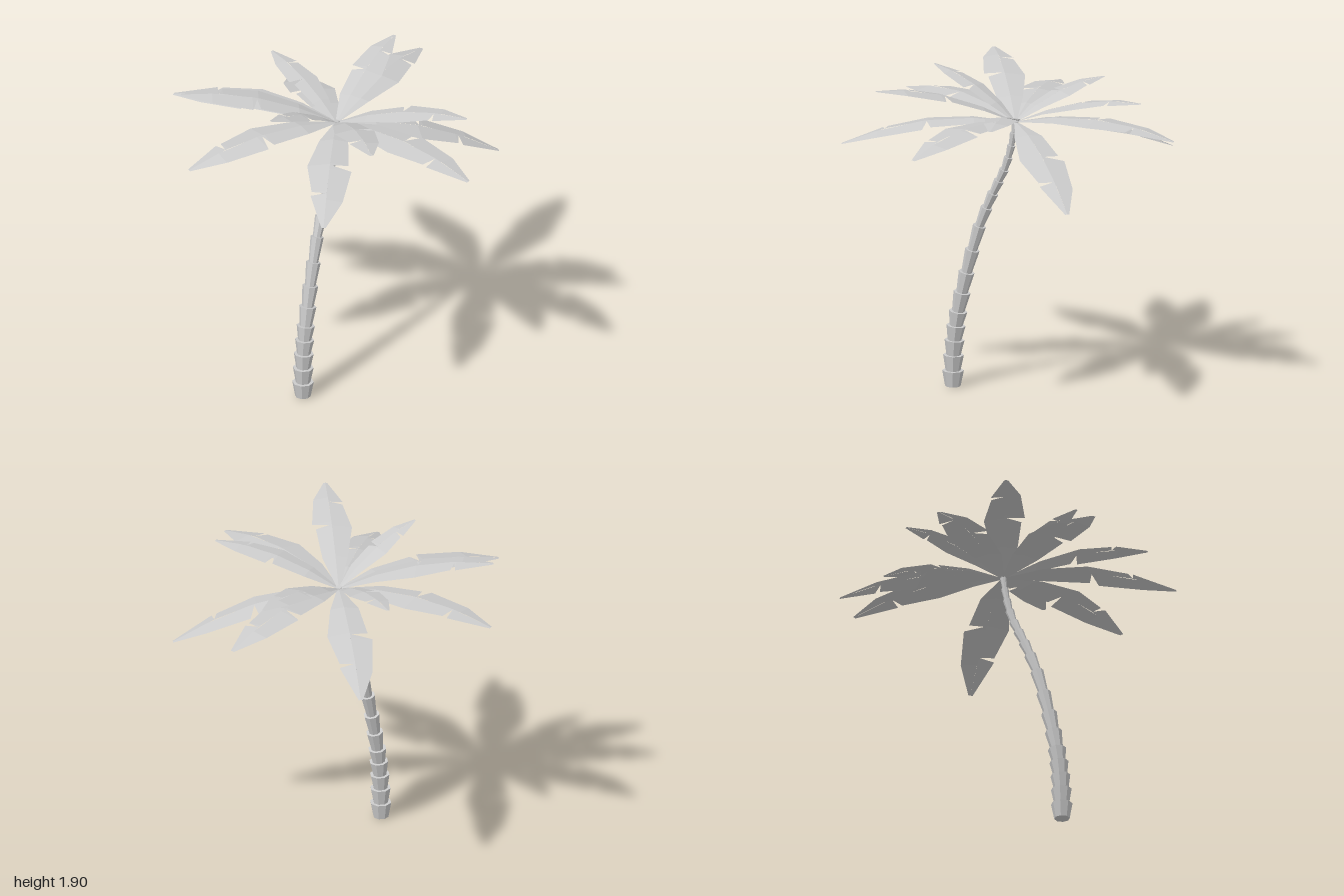
import * as THREE from 'three';

const material = new THREE.MeshStandardMaterial({ color: 0xcccccc, flatShading: true, side: THREE.DoubleSide });
const CROWN = new THREE.Vector3(0, 1.64, 0.04);

// Half outlines of a frond as [distance along rib, half width]; each has one notch cut to the rib
const LEFT = [[0, 0.008], [0.24, 0.085], [0.49, 0.105], [0.51, 0.012], [0.54, 0.126], [0.8, 0.095], [1, 0.012]];
const RIGHT = [[0, 0.008], [0.24, 0.08], [0.5, 0.13], [0.73, 0.088], [0.75, 0.008], [0.76, 0.092], [1, 0.012]];

// Frond tips: a long drooping ring and a shorter raised ring
const LOWER_TIPS = [
  [0, 1.63, -0.97], [-0.7, 1.4, -0.65], [-1, 1.63, 0.2], [-0.48, 1.635, 0.94],
  [0.43, 1.515, 0.96], [1, 1.63, 0.25], [0.72, 1.33, -0.61],
];
const UPPER_TIPS = [
  [-0.05, 1.82, -0.74], [-0.6, 1.8, -0.26], [-0.77, 1.85, 0.52],
  [-0.12, 1.9, 0.61], [0.59, 1.9, 0.67], [0.77, 1.79, -0.14],
];

// Arched leaf, creased along its rib
function makeFrond(tip, name) {
  const chord = new THREE.Vector3(...tip).sub(CROWN);
  const length = chord.length();
  const side = new THREE.Vector3(-chord.z, 0, chord.x).normalize();
  const point = (t, w) => {
    const p = CROWN.clone().addScaledVector(chord, t).addScaledVector(side, w * length);
    p.y += length * (0.29 * t * (1 - t) - 0.15 * Math.abs(w));
    return p;
  };
  const points = [];
  for (const [outline, sign] of [[LEFT, -1], [RIGHT, 1]]) {
    for (let i = 0; i < outline.length - 1; i++) {
      const [t0, w0] = outline[i];
      const [t1, w1] = outline[i + 1];
      const m0 = point(t0, 0), m1 = point(t1, 0);
      const e0 = point(t0, sign * w0), e1 = point(t1, sign * w1);
      if (sign > 0) points.push(m0, e0, m1, e0, e1, m1);
      else points.push(m0, m1, e0, e0, m1, e1);
    }
  }
  const geometry = new THREE.BufferGeometry().setFromPoints(points);
  geometry.computeVertexNormals();
  const mesh = new THREE.Mesh(geometry, material);
  mesh.name = name;
  return mesh;
}

// Curved trunk of flared, overlapping eight-sided segments
function makeTrunk() {
  const trunk = new THREE.Group();
  trunk.name = 'trunk';
  const path = new THREE.CatmullRomCurve3([
    [0.44, 0], [0.435, 0.2], [0.415, 0.4], [0.375, 0.6], [0.325, 0.8],
    [0.265, 1], [0.18, 1.2], [0.105, 1.36], [0.065, 1.5], [0.04, 1.65],
  ].map(([z, y]) => new THREE.Vector3(0, y, z)));
  // Ring positions as fractions of the trunk's length
  const rims = [0, 0.055, 0.11, 0.163, 0.215, 0.267, 0.337, 0.412, 0.496, 0.587,
    0.66, 0.718, 0.77, 0.815, 0.863, 0.908, 0.953, 1];
  for (let i = 0; i < rims.length - 1; i++) {
    const a = path.getPointAt(rims[i]);
    const b = path.getPointAt(rims[i + 1]);
    const axis = b.clone().sub(a);
    const radius = THREE.MathUtils.lerp(0.066, 0.02, rims[i + 1]);
    const geometry = new THREE.CylinderGeometry(radius, radius * 0.72, axis.length(), 8);
    geometry.rotateY(Math.PI / 8);
    const segment = new THREE.Mesh(geometry, material);
    segment.name = 'trunkSegment';
    segment.position.copy(a).add(b).multiplyScalar(0.5);
    segment.quaternion.setFromUnitVectors(new THREE.Vector3(0, 1, 0), axis.normalize());
    trunk.add(segment);
  }
  return trunk;
}

export function createModel() {
  const palm = new THREE.Group();
  palm.name = 'palmTree';
  const crown = new THREE.Group();
  crown.name = 'crown';
  for (const tip of LOWER_TIPS) crown.add(makeFrond(tip, 'lowerFrond'));
  for (const tip of UPPER_TIPS) crown.add(makeFrond(tip, 'upperFrond'));
  palm.add(makeTrunk(), crown);
  return palm;
}
